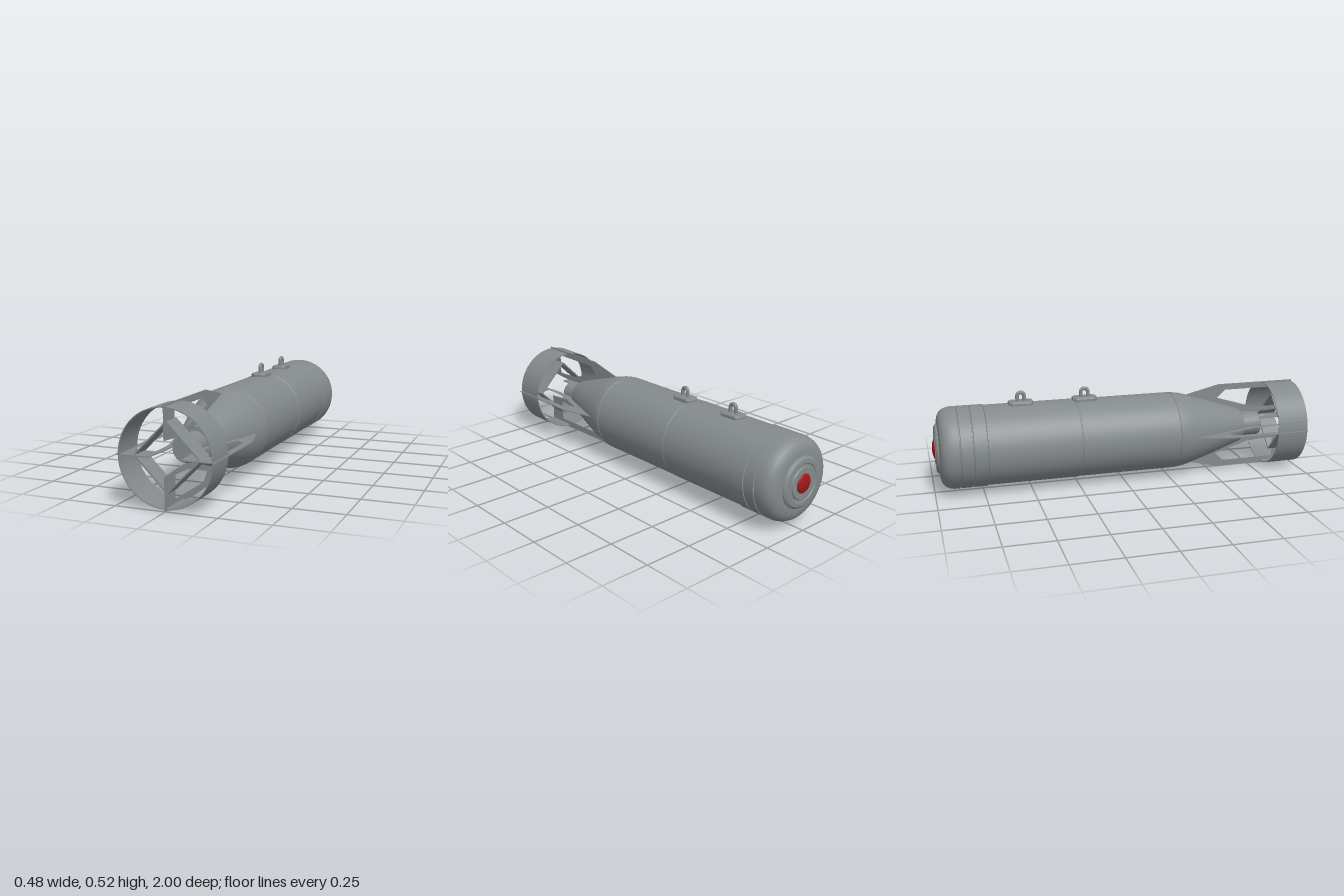
import * as THREE from 'three';
import { toCreasedNormals } from 'three/addons/utils/BufferGeometryUtils.js';

const AXIS_Y = 0.238;

const grey = new THREE.MeshStandardMaterial({ color: 0x848a8b });
grey.name = 'casing grey';
const red = new THREE.MeshStandardMaterial({ color: 0xa01818 });
red.name = 'fuse red';

function addMesh(parent, name, geometry, material = grey) {
  const mesh = new THREE.Mesh(geometry, material);
  mesh.name = name;
  parent.add(mesh);
  return mesh;
}

// Turned part along z; profile entries are [z, radius] with z rising
function turned(profile, crease = 0.5, segments = 72) {
  const points = profile.map(([z, r]) => new THREE.Vector2(r, z));
  return toCreasedNormals(new THREE.LatheGeometry(points, segments).rotateX(Math.PI / 2), crease);
}

// Narrow groove cut into a turned profile
const groove = (z, r, depth = 0.005) => [
  [z - 0.004, r], [z - 0.002, r - depth], [z + 0.002, r - depth], [z + 0.004, r],
];

function polygon(points, Type = THREE.Shape) {
  return new Type(points.map(([x, y]) => new THREE.Vector2(x, y)));
}

// Suspension lug: bevelled pad with an upright loop
function createLug(z) {
  const lug = new THREE.Group();
  lug.name = 'suspensionLug';
  const w = 0.03, l = 0.056, c = 0.012;
  const outline = polygon([
    [-w + c, -l], [w - c, -l], [w, -l + c], [w, l - c],
    [w - c, l], [-w + c, l], [-w, l - c], [-w, -l + c],
  ]);
  const pad = new THREE.ExtrudeGeometry(outline, {
    depth: 0.018, bevelEnabled: true, bevelThickness: 0.008, bevelSize: 0.009, bevelSegments: 2,
  });
  pad.rotateX(-Math.PI / 2);
  addMesh(lug, 'lugPad', pad).position.y = 0.437;

  const path = new THREE.CurvePath();
  const v = (y, zz) => new THREE.Vector3(0, y, zz);
  const arch = [v(0.45, -0.018), v(0.47, -0.018), v(0.488, -0.018)];
  for (let i = 1; i <= 8; i++) {
    const a = Math.PI - (i / 8) * Math.PI;
    arch.push(v(0.488 + 0.018 * Math.sin(a), 0.018 * Math.cos(a)));
  }
  arch.push(v(0.47, 0.018), v(0.45, 0.018));
  const curve = new THREE.CatmullRomCurve3(arch);
  addMesh(lug, 'lugLoop', new THREE.TubeGeometry(curve, 32, 0.0098, 12));
  lug.position.z = z;
  return lug;
}

export function createModel() {
  const model = new THREE.Group();
  model.name = 'finnedCanister';

  // Everything turned or mirrored about the long axis
  const axis = new THREE.Group();
  axis.name = 'axisParts';
  axis.position.y = AXIS_Y;
  model.add(axis);

  // Nose cap with stepped face, rounded shoulder and three grooves
  addMesh(axis, 'noseCap', turned([
    [-0.988, 0], [-0.988, 0.078], [-0.982, 0.082], [-0.982, 0.094], [-0.986, 0.098],
    [-0.984, 0.118], [-0.976, 0.128], [-0.97, 0.13], [-0.969, 0.15], [-0.965, 0.168],
    [-0.957, 0.185], [-0.945, 0.198], [-0.928, 0.207], [-0.905, 0.213],
    ...groove(-0.87, 0.213), ...groove(-0.805, 0.213),
    [-0.735, 0.213], [-0.731, 0.204],
  ]));

  // Red domed fuse button
  addMesh(axis, 'fuseButton', turned([
    [-1, 0], [-0.999, 0.018], [-0.996, 0.034], [-0.992, 0.045], [-0.985, 0.052], [-0.98, 0.053],
  ]), red);

  // Main casing, tapered tail and its end face
  addMesh(axis, 'casing', turned([
    [-0.735, 0.2], [-0.731, 0.209], [-0.255, 0.209], [-0.252, 0.205], [-0.248, 0.205],
    [-0.245, 0.207], ...groove(0.28, 0.207, 0.003), [0.3, 0.2055], [0.33, 0.201],
    [0.38, 0.188], [0.46, 0.164], [0.56, 0.132], [0.675, 0.094], [0.685, 0.089],
    [0.69, 0.084], [0.69, 0],
  ]));

  // Tail stub
  addMesh(axis, 'tailStub', turned([
    [0.68, 0.066], [0.79, 0.066], [0.8, 0.06], [0.8, 0],
  ]));

  // Open ring shroud around the fins
  addMesh(axis, 'tailRing', turned([
    [0.83, 0.225], [0.83, 0.2295], [1, 0.2295], [1, 0.225], [0.83, 0.225],
  ], 0.05));

  // Four cut-out fins; shape is drawn with z across and radius up
  const finShape = polygon([
    [0.34, 0.185], [0.56, 0.238], [1, 0.238], [1, 0.08], [0.83, 0.068],
    [0.76, 0.07], [0.69, 0.075], [0.6, 0.105],
  ]);
  finShape.holes.push(polygon([
    [0.555, 0.162], [0.6, 0.205], [0.9, 0.205], [0.9, 0.095], [0.83, 0.097], [0.75, 0.103],
  ], THREE.Path));
  const finGeometry = new THREE.ExtrudeGeometry(finShape, { depth: 0.005, bevelEnabled: false });
  finGeometry.translate(0, 0, -0.0025).rotateY(-Math.PI / 2);

  // Diamond of braces joining neighbouring fins inside the ring
  const braceGeometry = new THREE.BoxGeometry(0.16 * Math.SQRT2, 0.007, 0.1);
  for (let i = 0; i < 4; i++) {
    const angle = (i * Math.PI) / 2;
    addMesh(axis, 'fin', finGeometry).rotation.z = angle;
    const brace = addMesh(axis, 'finBrace', braceGeometry);
    const a = angle + Math.PI / 4;
    const d = 0.16 / Math.SQRT2;
    brace.position.set(Math.cos(a) * d, Math.sin(a) * d, 0.93);
    brace.rotation.z = a + Math.PI / 2;
  }

  // Two lugs along the top
  for (const z of [-0.535, -0.197]) model.add(createLug(z));

  return model;
}
